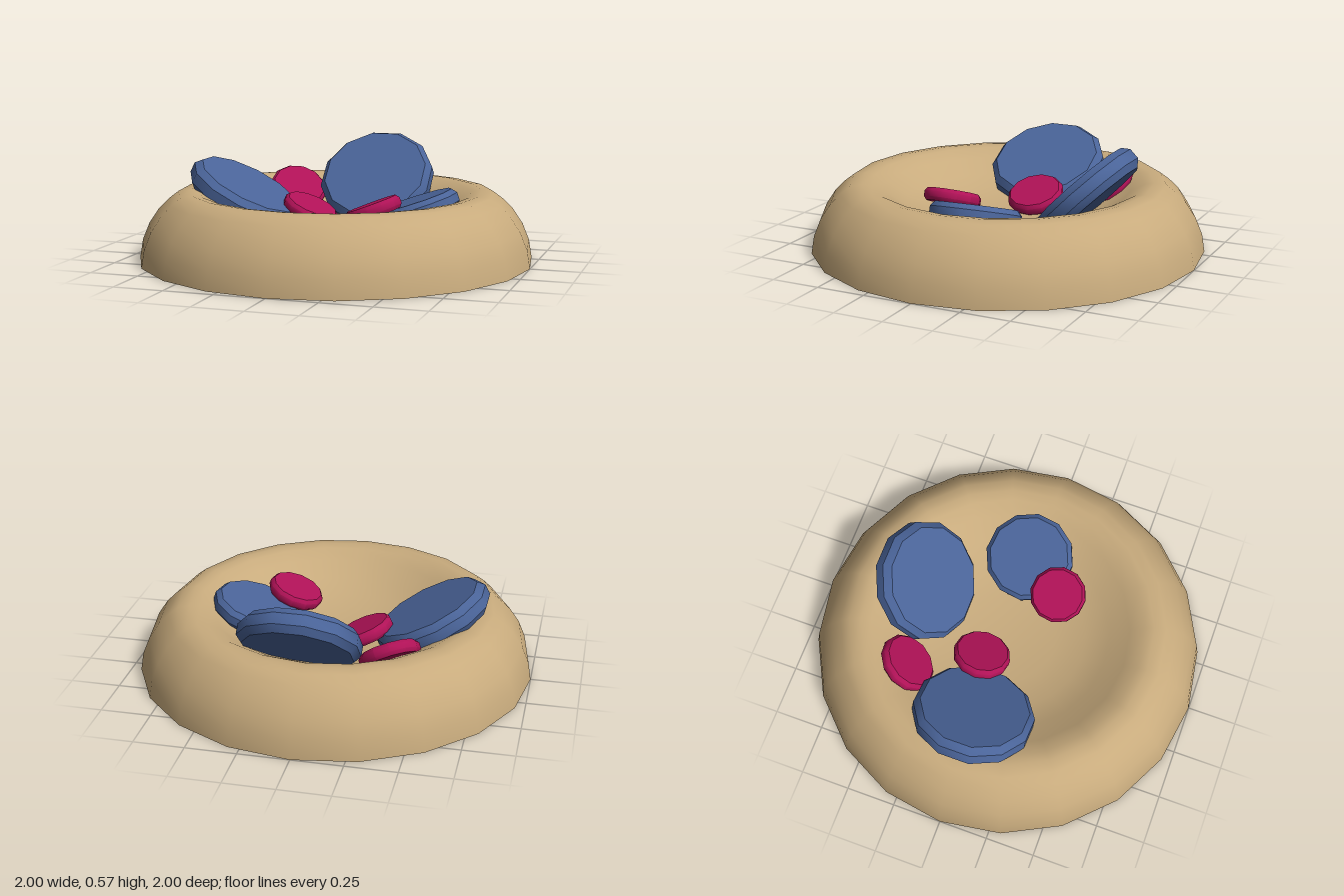
import * as THREE from 'three';
import { toCreasedNormals } from 'three/addons/utils/BufferGeometryUtils.js';

const CREASE = 0.7;

// Revolves a list of [radius, height] pairs, keeping sharp edges
function turned(profile, sides) {
  const points = profile.map(([r, y]) => new THREE.Vector2(r, y));
  return toCreasedNormals(new THREE.LatheGeometry(points, sides), CREASE);
}

// Flat round pebble with a bevelled rim, tilted so its face points along normal
function pebble(name, material, radius, half, position, normal, spin = Math.PI / 12) {
  const profile = [
    [0, -half], [radius * 0.9, -half], [radius, -half * 0.45],
    [radius, half * 0.45], [radius * 0.9, half], [0, half],
  ];
  const geometry = turned(profile, 12).rotateY(spin);
  const mesh = new THREE.Mesh(geometry, material);
  mesh.name = name;
  mesh.position.set(...position);
  mesh.quaternion.setFromUnitVectors(
    new THREE.Vector3(0, 1, 0), new THREE.Vector3(...normal).normalize());
  return mesh;
}

export function createModel() {
  const model = new THREE.Group();
  model.name = 'bowlOfPebbles';
  const tan = new THREE.MeshStandardMaterial({ color: 0xc8ab7d });
  const blue = new THREE.MeshStandardMaterial({ color: 0x4a6499 });
  const magenta = new THREE.MeshStandardMaterial({ color: 0xb01257 });

  // Bowl: flat base, rounded wall, broad rim and shallow dished inside
  const bowl = new THREE.Mesh(turned([
    [0, 0], [1, 0], [0.985, 0.09], [0.95, 0.175], [0.9, 0.25], [0.85, 0.3],
    [0.8, 0.338], [0.74, 0.346], [0.69, 0.338], [0.62, 0.3], [0.52, 0.235],
    [0.4, 0.185], [0.25, 0.155], [0, 0.145],
  ], 20), tan);
  bowl.name = 'bowl';
  model.add(bowl);

  // Large blue pebbles leaning on the inside of the rim
  model.add(
    pebble('backBluePebble', blue, 0.305, 0.062, [0.078, 0.338, -0.47], [0, 0.7, 0.71]),
    pebble('rightBluePebble', blue, 0.305, 0.06, [-0.495, 0.302, 0], [0.47, 0.88, 0]),
    pebble('leftBluePebble', blue, 0.228, 0.046, [0.41, 0.262, -0.028], [-0.32, 0.95, 0.02], 0.12),
  );

  // Small magenta pebbles scattered between them
  model.add(
    pebble('backMagentaPebble', magenta, 0.152, 0.032, [-0.35, 0.278, -0.41], [0.4, 0.75, 0.53]),
    pebble('middleMagentaPebble', magenta, 0.146, 0.032, [-0.165, 0.225, -0.08], [0.4, 0.91, 0.05], 0.1),
    pebble('frontMagentaPebble', magenta, 0.144, 0.032, [0.255, 0.285, 0.182], [-0.36, 0.93, 0], 0.1),
  );
  return model;
}
